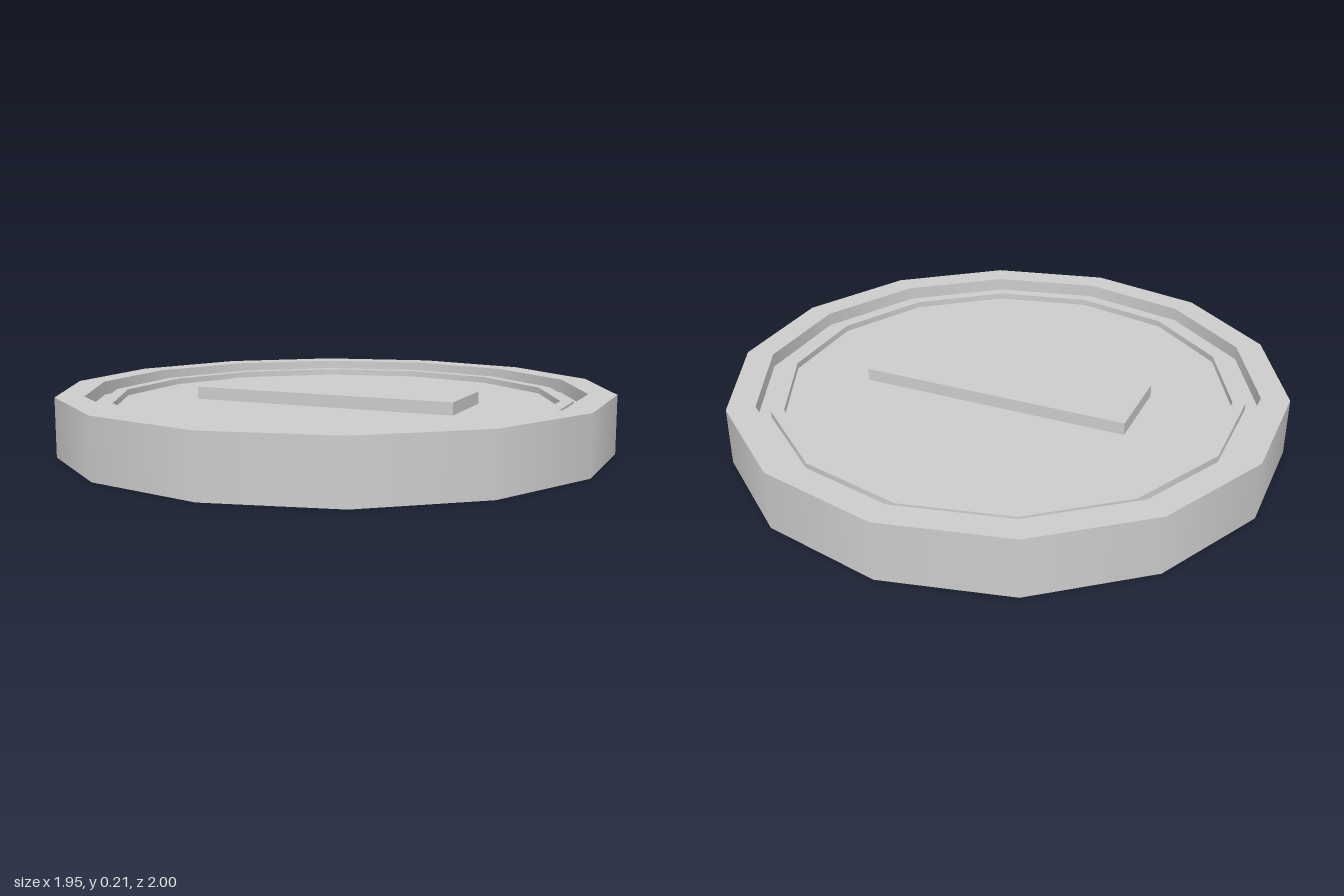
import * as THREE from 'three';
import { mergeGeometries } from 'three/addons/utils/BufferGeometryUtils.js';

const SIDES = 14;
const HEIGHT = 0.21;
const MID = HEIGHT / 2;

// Revolves each profile span on its own, so walls are smooth around but edges stay sharp
function facetedLathe(profile) {
  const spans = [];
  for (let i = 0; i < profile.length - 1; i++) {
    const pts = [profile[i], profile[i + 1]].map(([r, y]) => new THREE.Vector2(r, y));
    spans.push(new THREE.LatheGeometry(pts, SIDES));
  }
  return mergeGeometries(spans);
}

export function createModel() {
  const metal = new THREE.MeshStandardMaterial({ color: 0xcccccc });
  metal.name = 'lightGrey';

  const coin = new THREE.Group();
  coin.name = 'coin';

  // Upper half of the profile, from the outer wall to the centre
  const rim = 0.5 * HEIGHT, field = 0.055, ring = 0.078;
  const upper = [
    [1, rim], [0.9, rim], [0.9, field],
    [0.85, field], [0.85, ring], [0.805, ring], [0.805, field],
    [0, field],
  ];
  // Mirrored lower half, from the centre out to the outer wall
  const lower = upper.map(([r, y]) => [r, -y]).reverse();

  const body = new THREE.Mesh(facetedLathe([...lower, ...upper]), metal);
  body.name = 'coinBody';
  body.position.y = MID;
  coin.add(body);

  // Raised bar on both faces
  const barTop = 0.1;
  const barHeight = barTop - field;
  for (const side of [1, -1]) {
    const bar = new THREE.Mesh(new THREE.BoxGeometry(0.99, barHeight, 0.3), metal);
    bar.name = side > 0 ? 'topBar' : 'bottomBar';
    bar.position.y = MID + side * (field + barHeight / 2);
    coin.add(bar);
  }
  return coin;
}
